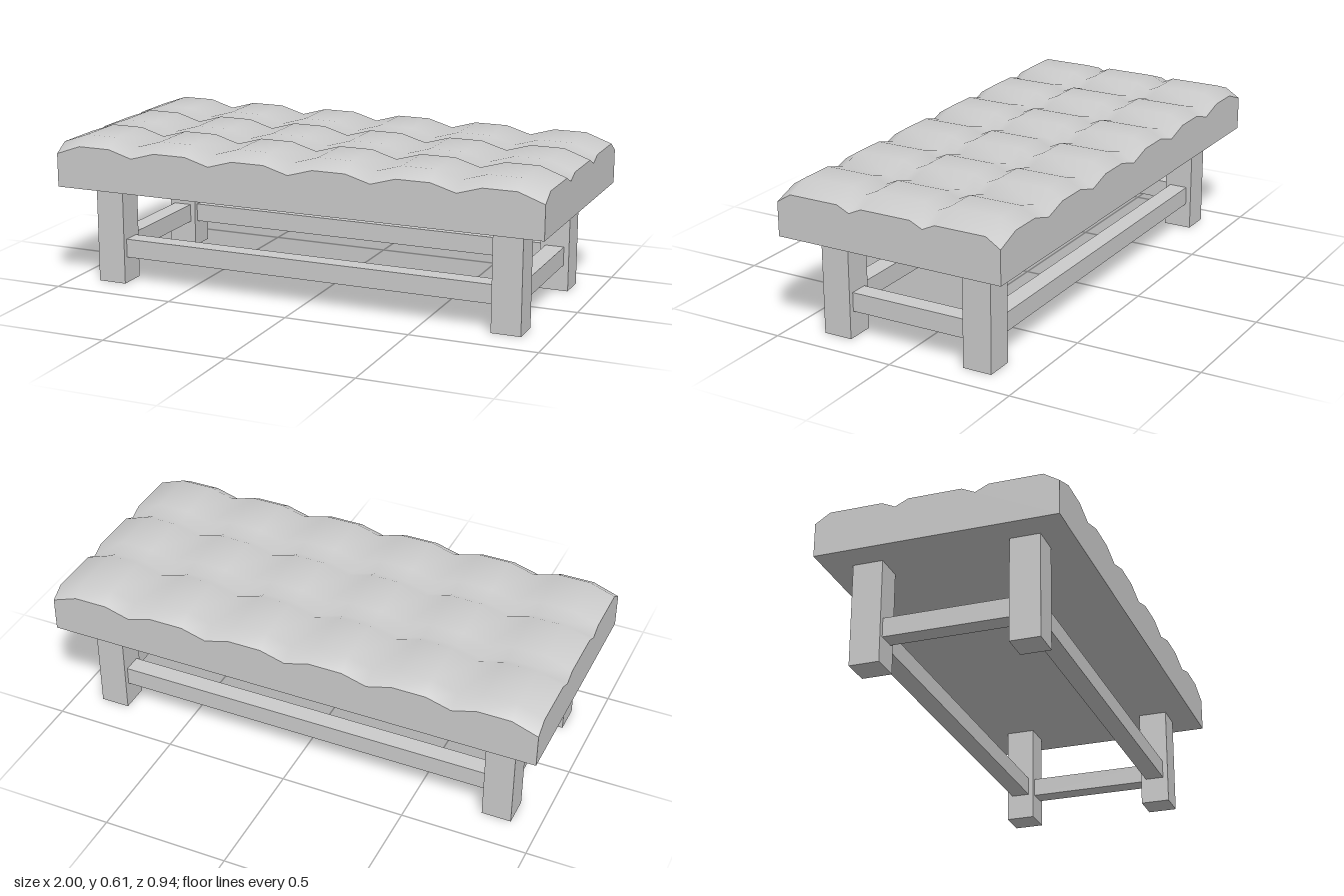
import * as THREE from 'three';

export function createModel() {
  const model = new THREE.Group();
  model.name = 'tuftedBench';
  const grey = new THREE.MeshStandardMaterial({ color: 0xcccccc });
  grey.name = 'light grey';

  const add = (geometry, name, parent = model) => {
    const mesh = new THREE.Mesh(geometry, grey);
    mesh.name = name;
    parent.add(mesh);
    return mesh;
  };
  const box = (name, w, h, d, x, y, z) =>
    add(new THREE.BoxGeometry(w, h, d), name).position.set(x, y, z);

  // Tuft profiles as [position, drop below crest], mirrored about zero
  const mirror = (half) => [
    ...half.filter(([p]) => p > 0).reverse().map(([p, d]) => [-p, d]),
    ...half,
  ];
  const alongX = mirror([
    [0, 0.029], [0.1, 0], [0.233, 0], [0.333, 0.029], [0.433, 0],
    [0.567, 0], [0.667, 0.029], [0.765, 0], [0.897, 0], [1, 0.037],
  ]);
  const alongZ = mirror([
    [0.103, 0], [0.154, 0.024], [0.205, 0], [0.41, 0], [0.469, 0.037],
  ]);
  const crest = 0.613, bottom = 0.405, rim = 0.037;
  const halfX = 1, halfZ = 0.469;

  // Cushion top: a grid whose height sums both tuft profiles
  const cushion = new THREE.Group();
  cushion.name = 'cushion';
  model.add(cushion);
  const top = new THREE.PlaneGeometry(2, 2, alongX.length - 1, alongZ.length - 1);
  const pos = top.attributes.position;
  alongZ.forEach(([z, dz], j) => alongX.forEach(([x, dx], i) => {
    pos.setXYZ(j * alongX.length + i, x, crest - dx - dz, z);
  }));
  top.computeVertexNormals();
  add(top, 'cushionTop', cushion);

  // Cushion sides: flat panels following the wavy rim
  const panel = (profile, half, distance, angle, name) => {
    const shape = new THREE.Shape();
    shape.moveTo(-half, bottom);
    shape.lineTo(half, bottom);
    [...profile].reverse().forEach(([p, d]) => shape.lineTo(p, crest - rim - d));
    shape.closePath();
    const geometry = new THREE.ShapeGeometry(shape);
    geometry.translate(0, 0, distance);
    geometry.rotateY(angle);
    add(geometry, name, cushion);
  };
  panel(alongX, halfX, halfZ, 0, 'cushionFront');
  panel(alongX, halfX, halfZ, Math.PI, 'cushionBack');
  panel(alongZ, halfZ, halfX, Math.PI / 2, 'cushionLeft');
  panel(alongZ, halfZ, halfX, -Math.PI / 2, 'cushionRight');

  // Cushion underside
  const under = new THREE.PlaneGeometry(2 * halfX, 2 * halfZ);
  under.rotateX(Math.PI / 2);
  under.translate(0, bottom, 0);
  add(under, 'cushionUnderside', cushion);

  // Square legs and the rails between them
  const legX = 0.831, legZ = 0.303, leg = 0.117, rail = 0.075, railY = 0.143;
  for (const s of [-1, 1]) {
    for (const t of [-1, 1]) {
      box(`${t > 0 ? 'front' : 'back'}${s > 0 ? 'Left' : 'Right'}Leg`,
        leg, bottom, leg, s * legX, bottom / 2, t * legZ);
    }
    box(s > 0 ? 'frontRail' : 'backRail',
      2 * legX - leg, rail, rail, 0, railY, s * legZ);
    box(s > 0 ? 'leftRail' : 'rightRail',
      rail, rail, 2 * legZ - leg, s * legX, railY, 0);
  }
  return model;
}
